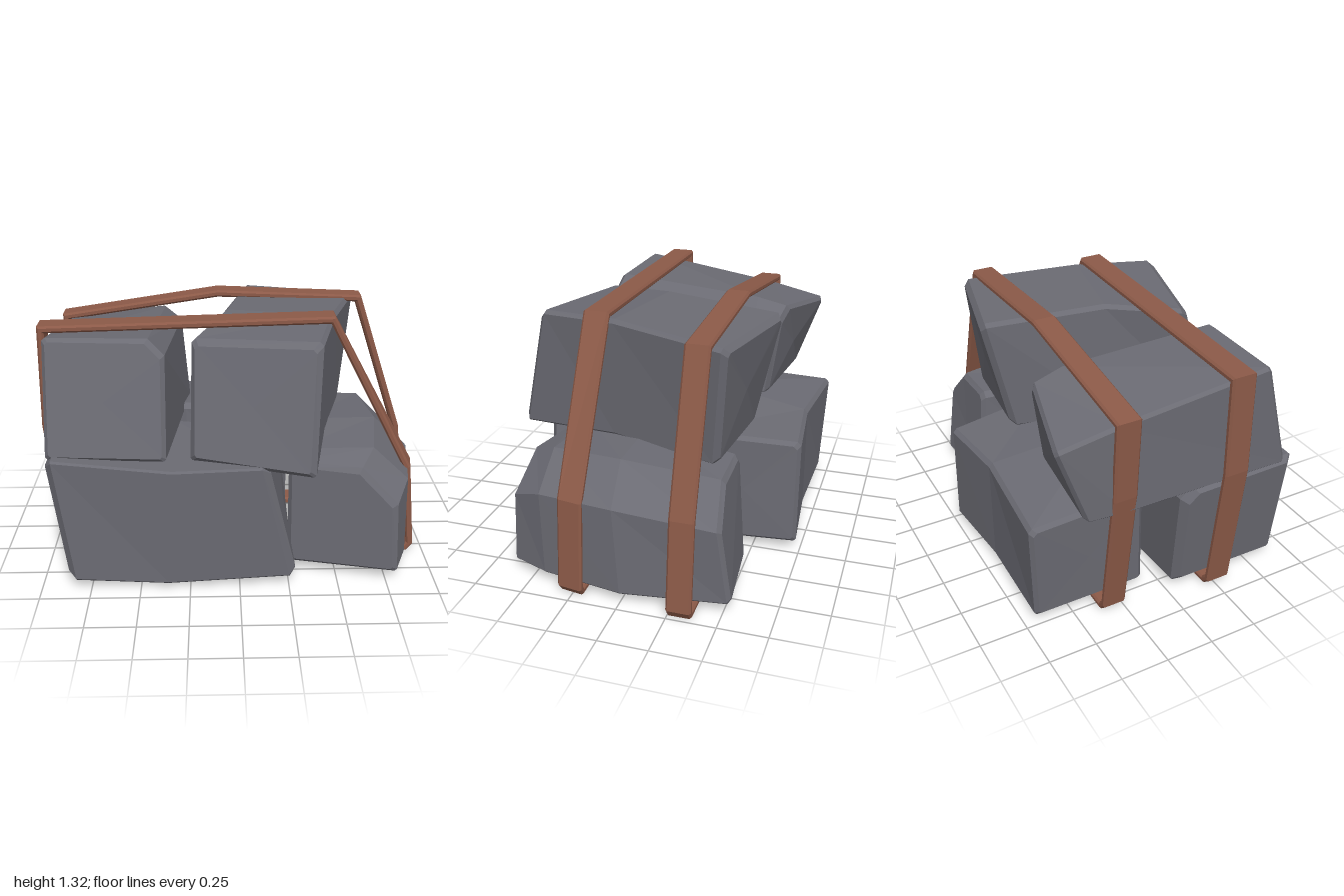
import * as THREE from 'three';

const stone = new THREE.MeshStandardMaterial({ color: 0x6b6b73, flatShading: true });
stone.name = 'grey stone';
const leather = new THREE.MeshStandardMaterial({ color: 0x8c5a48, flatShading: true });
leather.name = 'brown leather';

// Rough stone: lofted through rings of four corners, with every edge chamfered.
// cuts = chamfer size at each of the four long edges.
function block(name, rings, cuts, endCut = 0.02) {
  const corners = rings.map(r => r.map(p => new THREE.Vector3(...p)));
  const toward = (a, b, d) => a.clone().add(b.clone().sub(a).setLength(d));
  const chamfer = q => q.flatMap((p, i) => [
    toward(p, q[(i + 3) % 4], cuts[i]), toward(p, q[(i + 1) % 4], cuts[i])]);
  const centre = q => q.reduce((s, p) => s.add(p), new THREE.Vector3()).divideScalar(q.length);
  const inset = q => { const c = centre(q); return q.map(p => toward(p, c, endCut * 1.3)); };
  const last = corners.length - 1;
  const loops = [];
  corners.forEach((q, i) => {
    if (i === 0) loops.push(inset(chamfer(q)), chamfer(q.map((p, k) => toward(p, corners[1][k], endCut))));
    else if (i === last) loops.push(chamfer(q.map((p, k) => toward(p, corners[last - 1][k], endCut))), inset(chamfer(q)));
    else loops.push(chamfer(q));
  });

  const verts = [];
  const tri = (...ps) => ps.forEach(p => verts.push(p.x, p.y, p.z));
  for (let i = 0; i < loops.length - 1; i++) {
    for (let k = 0; k < 8; k++) {
      const n = (k + 1) % 8, a = loops[i], b = loops[i + 1];
      tri(a[k], a[n], b[n]);
      tri(a[k], b[n], b[k]);
    }
  }
  const start = loops[0], end = loops[loops.length - 1];
  const cs = centre(start), ce = centre(end);
  for (let k = 0; k < 8; k++) {
    const n = (k + 1) % 8;
    tri(cs, start[n], start[k]);
    tri(ce, end[k], end[n]);
  }
  const geo = new THREE.BufferGeometry();
  geo.setAttribute('position', new THREE.Float32BufferAttribute(verts, 3));
  geo.computeVertexNormals();
  const mesh = new THREE.Mesh(geo, stone);
  mesh.name = name;
  return mesh;
}

// Moves a counterclockwise outline inwards by an even distance
function insetOutline(points, d) {
  const normal = (a, b) => new THREE.Vector2(a.y - b.y, b.x - a.x).normalize();
  return points.map((p, i) => {
    const n1 = normal(points[(i + points.length - 1) % points.length], p);
    const n2 = normal(p, points[(i + 1) % points.length]);
    return n1.clone().add(n2).multiplyScalar(d / (1 + n1.dot(n2))).add(p);
  });
}

// Closed leather band around the stack, between two depths;
// lean draws the front edge of its steep side inwards
function strap(name, outline, z0, z1, lean) {
  const bevel = 0.01;
  const outer = outline.map(([x, y]) => new THREE.Vector2(x, y));
  const shape = new THREE.Shape(outer);
  shape.holes.push(new THREE.Path(insetOutline(outer, 0.036)));
  const geo = new THREE.ExtrudeGeometry(shape, {
    depth: z1 - z0 - 2 * bevel, bevelEnabled: true, bevelSegments: 1,
    bevelThickness: bevel, bevelSize: bevel, bevelOffset: -bevel });
  geo.translate(0, 0, z0 + bevel);
  const pos = geo.attributes.position;
  for (let i = 0; i < pos.count; i++) {
    const x = pos.getX(i);
    const side = THREE.MathUtils.clamp((x - 0.48) / 0.4, 0, 1);
    pos.setX(i, x - lean * side * (pos.getZ(i) - z0) / (z1 - z0));
  }
  const mesh = new THREE.Mesh(geo, leather);
  mesh.name = name;
  return mesh;
}

export function createModel() {
  const model = new THREE.Group();
  model.name = 'strappedStones';

  // Upper layer, lofted back to front
  model.add(block('upperRightStone', [
    [[-0.9, 0.66, -0.5], [-0.32, 0.66, -0.44], [-0.33, 1.16, -0.51], [-0.89, 1.08, -0.65]],
    [[-0.92, 0.66, -0.3], [-0.26, 0.66, -0.34], [-0.31, 1.2, -0.36], [-0.91, 1.145, -0.33]],
    [[-0.95, 0.68, 0.59], [-0.36, 0.67, 0.61], [-0.36, 1.25, 0.46], [-0.95, 1.255, 0.44]],
  ], [0.012, 0.012, 0.08, 0.015]));
  model.add(block('upperLeftStone', [
    [[0.04, 0.64, -0.45], [0.6, 0.63, -0.39], [0.67, 1.25, -0.44], [0.06, 1.26, -0.59]],
    [[-0.1, 0.65, 0.08], [0.46, 0.66, 0.19], [0.495, 1.285, 0.17], [-0.07, 1.285, 0.05]],
    [[-0.25, 0.66, 0.58], [0.36, 0.63, 0.74], [0.39, 1.265, 0.6], [-0.24, 1.24, 0.44]],
  ], [0.012, 0.012, 0.02, 0.02], 0.03));

  // Lower layer: two stones lofted right to left, one back to front
  model.add(block('lowerFrontStone', [
    [[-0.86, 0.04, 0.65], [-0.86, 0.045, 0.03], [-0.95, 0.69, 0.0], [-0.95, 0.7, 0.64]],
    [[-0.36, 0.025, 0.67], [-0.33, 0.035, 0.01], [-0.33, 0.66, -0.02], [-0.33, 0.66, 0.695]],
    [[0.29, 0.05, 0.65], [0.29, 0.05, 0.02], [0.22, 0.62, 0.02], [0.14, 0.67, 0.68]],
  ], [0.012, 0.012, 0.06, 0.01], 0.035));
  model.add(block('lowerBackStone', [
    [[-0.75, 0.05, -0.1], [-0.75, 0.05, -0.7], [-0.78, 0.61, -0.73], [-0.77, 0.63, -0.12]],
    [[-0.25, 0.05, -0.05], [-0.22, 0.05, -0.69], [-0.21, 0.63, -0.69], [-0.28, 0.72, -0.06]],
    [[0.29, 0.05, -0.15], [0.23, 0.05, -0.73], [0.21, 0.62, -0.73], [0.29, 0.65, -0.14]],
  ], [0.012, 0.012, 0.02, 0.03]));
  model.add(block('lowerLeftStone', [
    [[0.43, 0.05, -0.5], [0.88, 0.05, -0.54], [0.9, 0.62, -0.46], [0.43, 0.64, -0.46]],
    [[0.34, 0.05, 0.05], [0.95, 0.05, 0.0], [0.925, 0.68, 0.05], [0.33, 0.67, 0.05]],
    [[0.26, 0.05, 0.38], [0.88, 0.05, 0.42], [0.865, 0.67, 0.44], [0.26, 0.64, 0.38]],
    [[0.25, 0.05, 0.5], [0.8, 0.05, 0.63], [0.78, 0.6, 0.61], [0.25, 0.61, 0.49]],
  ], [0.012, 0.012, 0.18, 0.03]));

  // Straps
  model.add(strap('frontStrap', [
    [-0.88, 0], [0.935, 0], [0.967, 0.04], [0.925, 0.5], [0.48, 1.317], [-0.99, 1.277], [-1, 0.75], [-0.925, 0.04],
  ], 0.192, 0.325, 0.022));
  model.add(strap('backStrap', [
    [-0.8, 0], [0.97, 0], [0.995, 0.04], [0.945, 0.5], [0.69, 1.275], [-0.1, 1.308], [-0.95, 1.18], [-0.93, 0.75], [-0.84, 0.04],
  ], -0.372, -0.246, 0));
  return model;
}
